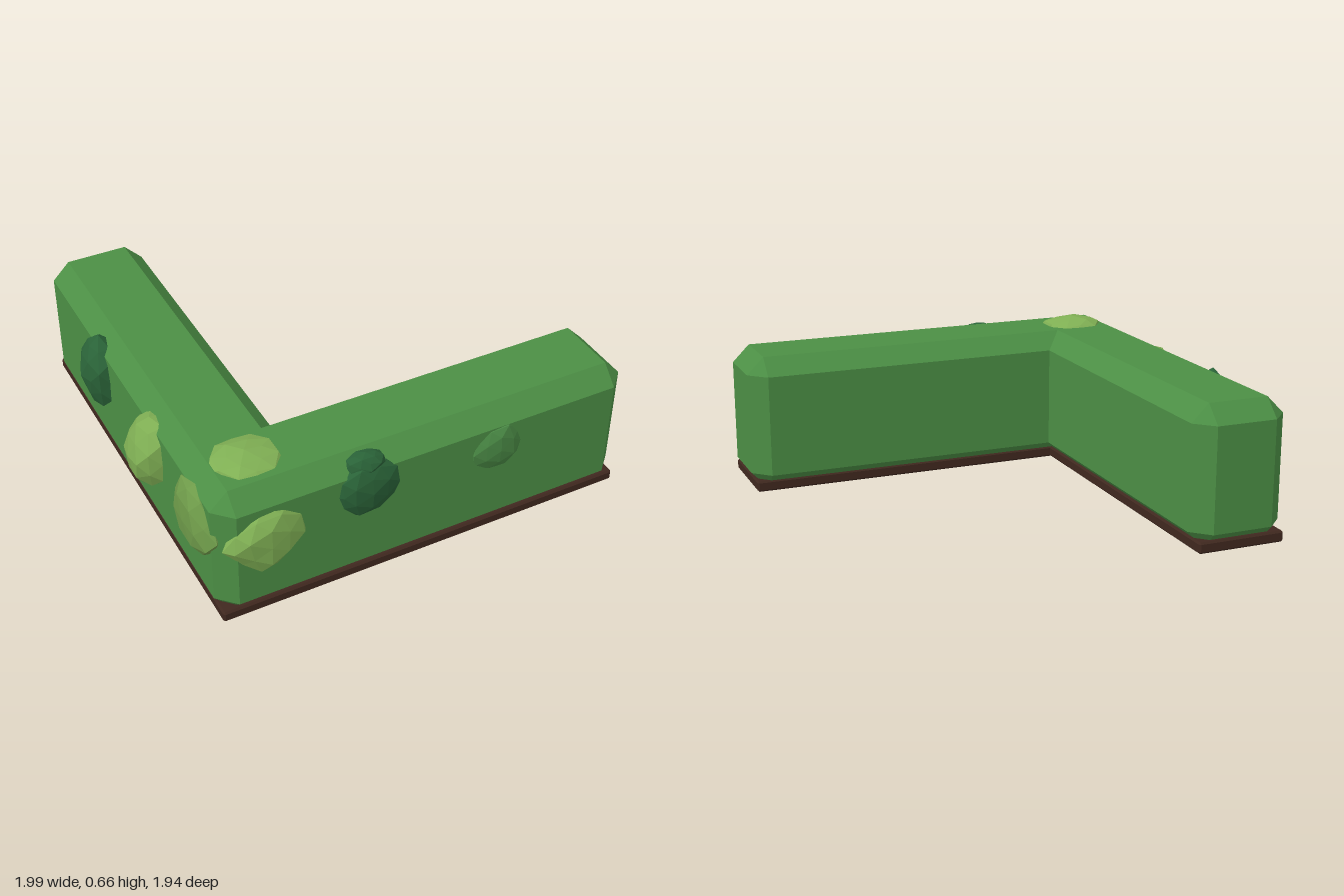
import * as THREE from 'three';
import { ConvexGeometry } from 'three/addons/geometries/ConvexGeometry.js';

const COLORS = { hedge: 0x4c8f45, soil: 0x40281f, dark: 0x2a6338, mid: 0x4a8a45, light: 0x80b054, olive: 0x6f9c4a };
const materials = {};
for (const key in COLORS) {
  materials[key] = new THREE.MeshStandardMaterial({ color: COLORS[key], flatShading: true });
}

function addMesh(parent, name, geometry, material) {
  const mesh = new THREE.Mesh(geometry, material);
  mesh.name = name;
  parent.add(mesh);
  return mesh;
}

// Box with every edge cut at 45 degrees, given by its two extreme corners
function chamferBox(min, max, c) {
  const half = max.map((v, i) => (v - min[i]) / 2);
  const mid = max.map((v, i) => (v + min[i]) / 2);
  const points = [];
  for (const sx of [-1, 1]) for (const sy of [-1, 1]) for (const sz of [-1, 1]) {
    const sign = [sx, sy, sz];
    for (let axis = 0; axis < 3; axis++) {
      const p = half.map((h, i) => mid[i] + sign[i] * (i === axis ? h : h - c));
      points.push(new THREE.Vector3(...p));
    }
  }
  return new ConvexGeometry(points);
}

// Lumpy low-poly leaf clump; taper narrows the lower half to a point
function clumpGeometry(seed, radii, taper = 0) {
  const geometry = new THREE.IcosahedronGeometry(1, 1);
  const pos = geometry.attributes.position;
  const v = new THREE.Vector3();
  for (let i = 0; i < pos.count; i++) {
    v.fromBufferAttribute(pos, i);
    const key = Math.round(v.x * 50) * 12.9 + Math.round(v.y * 50) * 78.2 + Math.round(v.z * 50) * 37.7;
    v.multiplyScalar(1 + 0.06 * Math.sin(key + seed));
    if (v.y < 0) v.x *= 1 + taper * v.y;
    pos.setXYZ(i, v.x * radii[0], v.y * radii[1], v.z * radii[2]);
  }
  geometry.computeVertexNormals();
  return geometry;
}

export function createModel() {
  const model = new THREE.Group();
  model.name = 'cornerHedge';

  // Two clipped arms meeting at the front corner
  addMesh(model, 'sideArm', chamferBox([-0.89, 0.002, -0.973], [-0.46, 0.62, 0.917], 0.078), materials.hedge);
  addMesh(model, 'frontArm', chamferBox([-0.89, 0.002, 0.487], [1, 0.62, 0.917], 0.078), materials.hedge);

  // Soil strips below each arm
  addMesh(model, 'sideSoil', chamferBox([-0.88, 0, -0.963], [-0.48, 0.05, 0.91], 0.008), materials.soil);
  addMesh(model, 'frontSoil', chamferBox([-0.88, 0, 0.512], [0.985, 0.05, 0.91], 0.008), materials.soil);

  // Leaf clumps: name, colour, centre, radii, taper
  const clumps = [
    ['frontDarkClump', 'dark', [-0.24, 0.46, 0.9], [0.145, 0.135, 0.06]],
    ['frontDarkTuft', 'dark', [-0.24, 0.565, 0.88], [0.09, 0.055, 0.055]],
    ['frontMidClump', 'mid', [0.36, 0.435, 0.895], [0.13, 0.122, 0.05]],
    ['frontLightClump', 'light', [-0.685, 0.37, 0.895], [0.175, 0.158, 0.075], 0.45],
    ['topLightClump', 'light', [-0.67, 0.605, 0.69], [0.15, 0.05, 0.135]],
    ['cornerOliveClump', 'olive', [-0.875, 0.39, 0.68], [0.07, 0.175, 0.18]],
    ['sideLightClump', 'light', [-0.89, 0.41, 0.25], [0.106, 0.175, 0.125]],
    ['sideDarkClump', 'dark', [-0.885, 0.42, -0.33], [0.09, 0.175, 0.125]],
  ];
  clumps.forEach(([name, color, centre, radii, taper], i) => {
    addMesh(model, name, clumpGeometry(i * 1.7, radii, taper), materials[color]).position.set(...centre);
  });

  return model;
}
